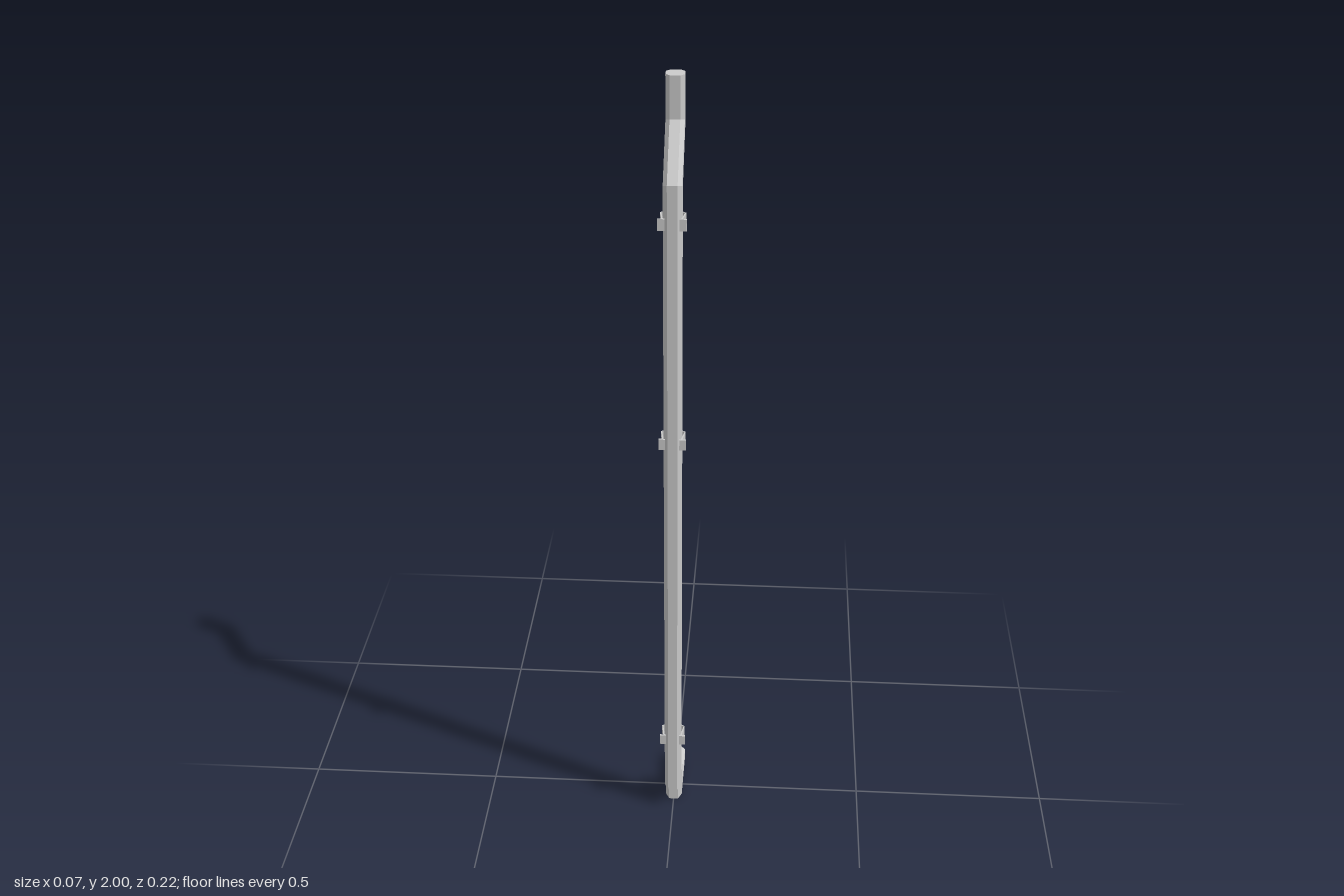
import * as THREE from 'three';

const material = new THREE.MeshStandardMaterial({
  color: 0xcccccc, flatShading: true, side: THREE.DoubleSide,
});

// Octagonal pipe section: half width H, half length C of each flat side
const H = 0.0218, C = 0.012;
const SECTION = [[H, -C], [H, C], [C, H], [-C, H], [-H, C], [-H, -C], [-C, -H], [C, -H]];

// Sweeps the section along [z, y] points with mitred bends
function pipeGeometry(path) {
  const pts = path.map(([z, y]) => new THREE.Vector3(0, y, z));
  const xAxis = new THREE.Vector3(1, 0, 0);
  const normals = pts.slice(1).map((p, i) => p.clone().sub(pts[i]).normalize().cross(xAxis));
  const positions = [], index = [], n = SECTION.length;
  pts.forEach((p, i) => {
    const a = normals[Math.max(i - 1, 0)];
    const b = normals[Math.min(i, normals.length - 1)];
    const mitre = a.clone().add(b).divideScalar(1 + a.dot(b));
    for (const [u, v] of SECTION) positions.push(u, p.y + mitre.y * v, p.z + mitre.z * v);
  });
  for (let i = 0; i < pts.length - 1; i++) {
    for (let j = 0; j < n; j++) {
      const a = i * n + j, b = i * n + (j + 1) % n;
      index.push(a, b, a + n, b, b + n, a + n);
    }
  }
  // Closed top end; the outlet stays open
  for (let j = 1; j < n - 1; j++) index.push(0, j + 1, j);
  const g = new THREE.BufferGeometry();
  g.setAttribute('position', new THREE.Float32BufferAttribute(positions, 3));
  g.setIndex(index);
  const flat = g.toNonIndexed();
  flat.computeVertexNormals();
  return flat;
}

// Strap that wraps behind the pipe and ends in two wall flanges
function bracketGeometry(height) {
  const half = [
    [0.012, 0.0565], [0.027, 0.067], [0.0205, 0.104], [0.017, 0.104], [0.017, 0.109],
    [0.033, 0.109], [0.033, 0.104], [0.0245, 0.104], [0.03, 0.066], [0.013, 0.0535],
  ];
  const mirrored = half.map(([x, z]) => [-x, z]).reverse();
  const shape = new THREE.Shape([...half, ...mirrored].map(([x, z]) => new THREE.Vector2(x, z)));
  const g = new THREE.ExtrudeGeometry(shape, { depth: height, bevelEnabled: false });
  g.rotateX(Math.PI / 2);
  g.translate(0, height / 2, 0);
  return g;
}

export function createModel() {
  const model = new THREE.Group();
  model.name = 'drainpipe';

  // Pipe: top neck, offset, long drop, step and outlet
  const pipe = new THREE.Mesh(pipeGeometry([
    [-0.018, 2], [-0.018, 1.893], [0.078, 1.773], [0.078, 0.086],
    [0.04, 0.086], [0.04, 0.0225], [-0.109, 0.0225],
  ]), material);
  pipe.name = 'pipe';
  model.add(pipe);

  // Wall brackets
  const bracket = bracketGeometry(0.028);
  [1.692, 1.133, 0.241].forEach((y, i) => {
    const mesh = new THREE.Mesh(bracket, material);
    mesh.name = `bracket${i + 1}`;
    mesh.position.y = y;
    model.add(mesh);
  });

  return model;
}
